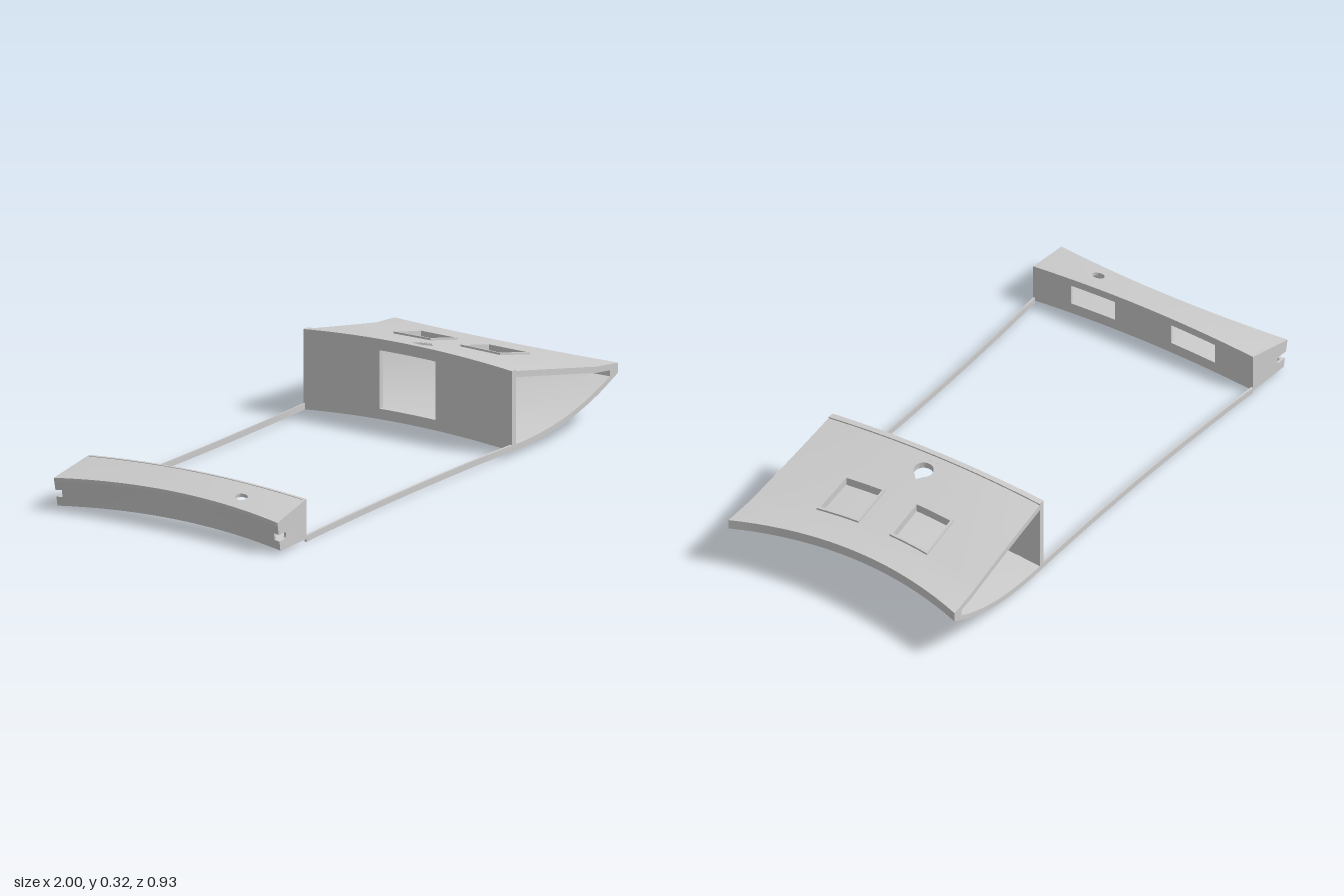
import * as THREE from 'three';
import { toCreasedNormals } from 'three/addons/utils/BufferGeometryUtils.js';

const material = new THREE.MeshStandardMaterial({ color: 0xcccccc, side: THREE.DoubleSide });
const clamp = THREE.MathUtils.clamp;
const halfWidth = x => 0.427 + 0.038 * x * x;

// Arches everything across z, and hollows both end edges in plan. s runs -1..1 across the width.
function warp(x, y, s) {
  const k = 1 - s * s;
  const right = clamp((x - 0.42) / 0.58, 0, 1), left = clamp((-0.81 - x) / 0.19, 0, 1);
  return [x + k * (0.045 * left - 0.075 * right), y + 0.021 * k, s * halfWidth(x)];
}

function addMesh(group, name, geometry) {
  const mesh = new THREE.Mesh(toCreasedNormals(geometry, 0.5), material);
  mesh.name = name;
  group.add(mesh);
}

// Evenly spaced stations across the width plus extra cuts for openings
function stations(from, to, extra = [], n = 20) {
  const list = [...extra];
  for (let i = 0; i <= n; i++) list.push(from + (to - from) * i / n);
  return [...new Set(list.map(v => +v.toFixed(4)))].sort((a, b) => a - b);
}

// Thick panel between an outer and inner profile; holes are [profile cell, s from, s to]
function panel(group, name, outer, inner, ss, holes = []) {
  const pos = [];
  const O = (i, j) => warp(...outer[i], ss[j]), I = (i, j) => warp(...inner[i], ss[j]);
  const quad = (a, b, c, d) => pos.push(...a, ...b, ...c, ...a, ...c, ...d);
  const solid = (i, j) => {
    if (i < 0 || j < 0 || i >= outer.length - 1 || j >= ss.length - 1) return false;
    const mid = (ss[j] + ss[j + 1]) / 2;
    return !holes.some(h => h[0] === i && mid > h[1] && mid < h[2]);
  };
  for (let i = 0; i < outer.length - 1; i++) for (let j = 0; j < ss.length - 1; j++) {
    if (!solid(i, j)) continue;
    const p = i + 1, q = j + 1;
    quad(O(i, j), O(i, q), O(p, q), O(p, j));
    quad(I(i, j), I(p, j), I(p, q), I(i, q));
    if (!solid(i - 1, j)) quad(O(i, j), I(i, j), I(i, q), O(i, q));
    if (!solid(p, j)) quad(O(p, q), I(p, q), I(p, j), O(p, j));
    if (!solid(i, j - 1)) quad(O(p, j), I(p, j), I(i, j), O(i, j));
    if (!solid(i, q)) quad(O(i, q), I(i, q), I(p, q), O(p, q));
  }
  const g = new THREE.BufferGeometry();
  g.setAttribute('position', new THREE.Float32BufferAttribute(pos, 3));
  addMesh(group, name, g);
}

// Moves every vertex of a geometry by a rule
function reshape(g, rule) {
  const p = g.attributes.position;
  for (let i = 0; i < p.count; i++) p.setXYZ(i, ...rule(p.getX(i), p.getY(i), p.getZ(i)));
  return g;
}

// Small plate with a hole that fills one panel opening
function holedPlate(group, name, x0, x1, s0, s1, hole, height, thickness) {
  const W = halfWidth((x0 + x1) / 2);
  const shape = new THREE.Shape([[x0, -s1 * W], [x1, -s1 * W], [x1, -s0 * W], [x0, -s0 * W]]
    .map(p => new THREE.Vector2(...p)));
  shape.holes.push(hole);
  const g = new THREE.ExtrudeGeometry(shape, { depth: thickness, bevelEnabled: false, curveSegments: 20 });
  g.rotateX(-Math.PI / 2);
  addMesh(group, name, reshape(g, (x, y, z) => warp(x, height(x) - thickness + y, z / W)));
}

const offset = (pts, dx, dy) => pts.map(([x, y]) => [x + dx, y + dy]);

function buildHousing() {
  const g = new THREE.Group();
  g.name = 'mainHousing';
  const roofY = x => x < 0.88 ? 0.302 - 0.2 * (x - 0.42) : 0.21 - 0.11 * (x - 0.88);

  // Sloping roof with two windows and a small sensor hole
  const roof = [0.42, 0.47, 0.58, 0.686, 0.85, 0.88, 0.94, 1].map(x => [x, roofY(x)]);
  const win = [0.16, 0.48];
  panel(g, 'roof', roof, offset(roof, 0, -0.022),
    stations(-1, 1, [-0.48, -0.16, -0.1, 0.1, 0.16, 0.48]),
    [[3, ...win], [3, -0.48, -0.16], [1, -0.1, 0.1]]);
  const hole = new THREE.Path();
  hole.absarc(0.521, 0, 0.036, 0.6, Math.PI * 2 - 0.6, false);
  hole.lineTo(0.574, 0);
  hole.closePath();
  holedPlate(g, 'sensorPlate', 0.47, 0.58, -0.1, 0.1, hole, roofY, 0.022);

  // Raised frames around the windows
  const rim = [0.675, 0.686, 0.85, 0.861].map(x => [x, roofY(x)]);
  for (const [a, b] of [win, [-0.48, -0.16]])
    panel(g, 'windowFrame', offset(rim, 0, 0.007), rim,
      stations(a - 0.02, b + 0.02, [a, b], 4), [[1, a, b]]);

  // Curved hull rising to the tip
  const curve = new THREE.SplineCurve([[1, 0.162], [0.9, 0.112], [0.8, 0.074], [0.7, 0.046],
    [0.6, 0.029], [0.5, 0.02], [0.42, 0.018]].map(p => new THREE.Vector2(...p)));
  const hull = curve.getPoints(18).map(p => [p.x, p.y]);
  panel(g, 'hull', hull, offset(hull, 0, 0.02), stations(-1, 1));

  // Lip closing roof and hull at the tip
  panel(g, 'tipLip', [[1, 0.197], [1, 0.162]], [[0.955, 0.19], [0.955, 0.155]], stations(-1, 1));

  // Upright wall with a central opening
  const wall = [[0.42, 0.018], [0.42, 0.055], [0.42, 0.262], [0.42, 0.302]];
  panel(g, 'bulkhead', wall, offset(wall, 0.024, 0), stations(-1, 1, [-0.27, 0.27]), [[1, -0.27, 0.27]]);
  return g;
}

function buildEndBox() {
  const g = new THREE.Group();
  g.name = 'endBox';
  const e = 0.98, t = 0.012;
  const topY = x => 0.115 + (x + 1) * 0.2;

  // Top with a round hole
  const top = [-1, -0.95, -0.89, -0.812].map(x => [x, topY(x)]);
  panel(g, 'boxTop', top, offset(top, 0, -t), stations(-e, e, [0.47, 0.6]), [[1, 0.47, 0.6]]);
  const hole = new THREE.Path();
  hole.absarc(-0.92, -0.535 * halfWidth(-0.92), 0.024, 0, Math.PI * 2, false);
  holedPlate(g, 'buttonPlate', -0.95, -0.89, 0.47, 0.6, hole, topY, t);

  // Inner face with two windows
  const face = [[-0.812, 0.152], [-0.812, 0.125], [-0.812, 0.05], [-0.812, 0.01]];
  panel(g, 'boxInnerFace', face, offset(face, -t, 0), stations(-e, e, [-0.655, -0.255, 0.255, 0.655]),
    [[1, -0.655, -0.255], [1, 0.255, 0.655]]);

  // Floor and outer wall, the wall notched at both ends
  const floor = [[-0.812, 0.01], [-0.98, 0.012]];
  panel(g, 'boxFloor', floor, offset(floor, 0, t), stations(-e, e));
  const outer = [[-0.98, 0.012], [-0.986, 0.045], [-0.991, 0.07], [-1, 0.115]];
  panel(g, 'boxOuterWall', outer, offset(outer, t, 0), stations(-e, e, [-0.95, 0.95]),
    [[1, -1, -0.95], [1, 0.95, 1]]);

  // End plates with a round-ended slot
  const shape = new THREE.Shape();
  shape.moveTo(-0.98, 0.012);
  shape.lineTo(-0.812, 0.01);
  shape.lineTo(-0.812, topY(-0.812));
  shape.lineTo(-1, 0.115);
  shape.lineTo(-0.991, 0.07);
  shape.absarc(-0.955, 0.0575, 0.0125, Math.PI / 2, -Math.PI / 2, true);
  shape.lineTo(-0.986, 0.045);
  shape.closePath();
  for (const s0 of [-1, e]) {
    const plate = new THREE.ExtrudeGeometry(shape, { depth: 1 - e, bevelEnabled: false });
    addMesh(g, 'boxEnd', reshape(plate, (x, y, z) => warp(x, y, s0 + z)));
  }
  return g;
}

export function createModel() {
  const model = new THREE.Group();
  model.name = 'frame';
  model.add(buildHousing(), buildEndBox());

  // Thin bowed rails joining the two ends
  const rail = [];
  for (let i = 0; i <= 16; i++) rail.push([-0.812 + 1.232 * i / 16, 0.022 + 0.018 * i / 16]);
  panel(model, 'leftRail', rail, offset(rail, 0, -0.022), [0.984, 1]);
  panel(model, 'rightRail', rail, offset(rail, 0, -0.022), [-1, -0.984]);
  return model;
}
